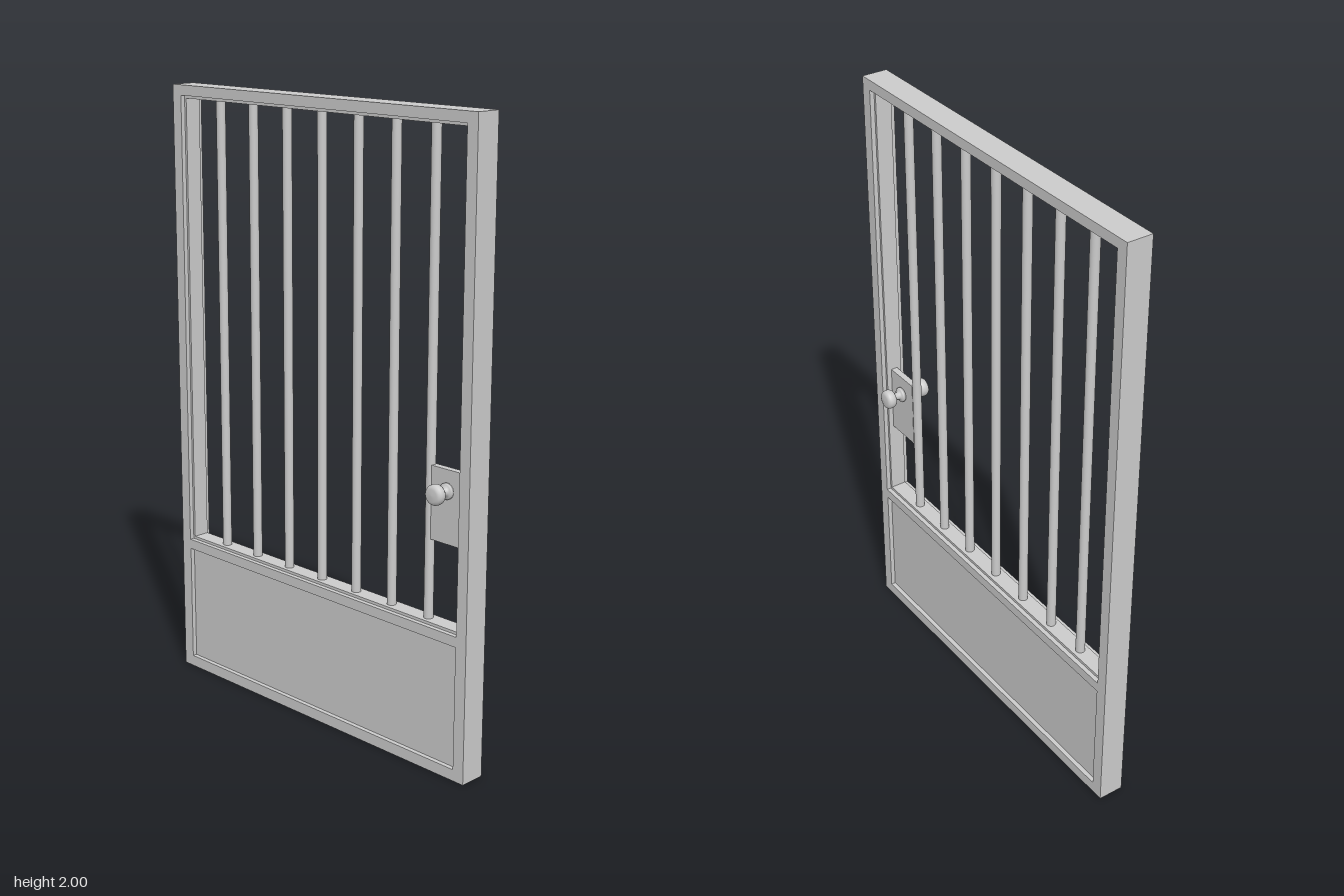
import * as THREE from 'three';

const material = new THREE.MeshStandardMaterial({ color: 0xcccccc });
const CENTRE_X = -0.004; // middle of the gate's thickness

function add(parent, name, geometry, x = 0, y = 0, z = 0) {
  const mesh = new THREE.Mesh(geometry, material);
  mesh.name = name;
  mesh.position.set(x, y, z);
  parent.add(mesh);
  return mesh;
}

// Rectangle centred on z, spanning y0 to y1
function rectangle(Kind, half, y0, y1) {
  const path = new Kind();
  path.moveTo(-half, y0);
  path.lineTo(half, y0);
  path.lineTo(half, y1);
  path.lineTo(-half, y1);
  path.closePath();
  return path;
}

// Upright slab in the zy plane, with rectangular holes [half, y0, y1]
function slab(half, y0, y1, holes, thickness) {
  const shape = rectangle(THREE.Shape, half, y0, y1);
  holes.forEach((hole) => shape.holes.push(rectangle(THREE.Path, ...hole)));
  const geometry = new THREE.ExtrudeGeometry(shape, { depth: thickness, bevelEnabled: false });
  geometry.translate(0, 0, -thickness / 2);
  geometry.rotateY(Math.PI / 2);
  return geometry;
}

export function createModel() {
  const gate = new THREE.Group();
  gate.name = 'barredGate';

  // Outer frame with an upper opening and a lower panel opening
  add(gate, 'frame', slab(0.645, 0, 2, [[0.606, 0.466, 1.967], [0.604, 0.037, 0.433]], 0.085), CENTRE_X);

  // Narrow stop lining the upper opening, set back from both faces
  add(gate, 'openingLining', slab(0.606, 0.466, 1.967, [[0.598, 0.475, 1.957]], 0.055), CENTRE_X);

  // Recessed kick panel
  add(gate, 'lowerPanel', new THREE.BoxGeometry(0.055, 0.396, 1.208), CENTRE_X, 0.235, 0);

  // Seven round bars
  const barGeometry = new THREE.CylinderGeometry(0.015, 0.015, 1.49, 20);
  for (let i = -3; i <= 3; i++) {
    add(gate, 'bar', barGeometry, CENTRE_X, 1.216, -0.0025 + i * 0.153);
  }

  // Lock plate between the post and the first bar
  add(gate, 'lockPlate', new THREE.BoxGeometry(0.022, 0.23, 0.128), CENTRE_X, 0.845, 0.533);

  // Rosette, neck and rounded knob on each side, turned about x
  const profile = [
    [0, 0], [0.025, 0], [0.025, 0.009], [0.022, 0.013], [0.013, 0.015], [0.012, 0.03],
    [0.018, 0.035], [0.026, 0.038], [0.031, 0.045], [0.032, 0.054],
    [0.031, 0.062], [0.027, 0.068], [0.019, 0.071], [0, 0.072],
  ].map(([r, h]) => new THREE.Vector2(r, h));
  const knobGeometry = new THREE.LatheGeometry(profile, 32);
  for (const side of [-1, 1]) {
    const knob = add(gate, side > 0 ? 'leftKnob' : 'rightKnob', knobGeometry, CENTRE_X + side * 0.01, 0.895, 0.533);
    knob.rotation.z = -side * Math.PI / 2;
  }

  return gate;
}
